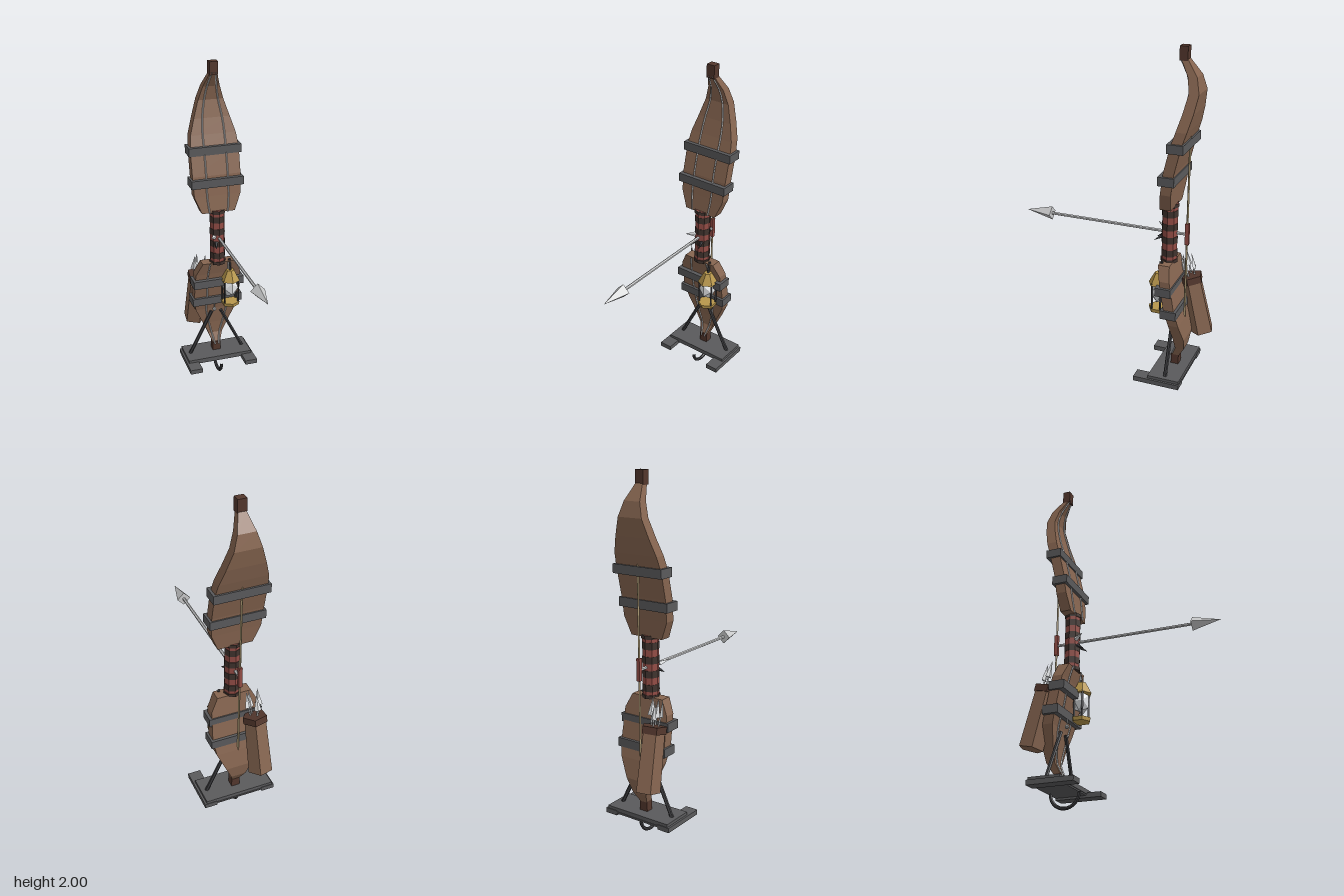
import * as THREE from 'three';

const mat = (name, color) => {
  const m = new THREE.MeshStandardMaterial({ color, flatShading: true });
  m.name = name;
  return m;
};

export function createModel() {
  const root = new THREE.Group();
  const wood = mat('wood', 0x866550);
  const darkWood = mat('dark wood', 0x53372d);
  const leather = mat('dark leather', 0x40332e);
  const iron = mat('iron', 0x5a5a5c);
  const black = mat('blackened iron', 0x3c3c3f);
  const red = mat('red wrap', 0x944d46);
  const steel = mat('steel', 0xc9cacb);
  const pale = mat('pale glass and feather', 0xe6e8ea);
  const gold = mat('brass', 0xb8974c);
  const cord = mat('cord', 0xb5a27a);

  const V = (p) => new THREE.Vector3(...p);
  const add = (name, geo, m, pos = [0, 0, 0], parent = root) => {
    const mesh = new THREE.Mesh(geo, m);
    mesh.name = name;
    mesh.position.set(...pos);
    parent.add(mesh);
    return mesh;
  };
  // box given by its extents
  const box = (name, m, x0, x1, y0, y1, z0, z1) =>
    add(name, new THREE.BoxGeometry(x1 - x0, y1 - y0, z1 - z0), m,
      [(x0 + x1) / 2, (y0 + y1) / 2, (z0 + z1) / 2]);
  // tapered rod from a to b
  const rod = (name, m, a, b, ra, rb = ra, sides = 6, parent = root) => {
    const d = V(b).sub(V(a));
    const mesh = add(name, new THREE.CylinderGeometry(rb, ra, d.length(), sides), m,
      V(a).add(V(b)).multiplyScalar(0.5).toArray(), parent);
    mesh.quaternion.setFromUnitVectors(new THREE.Vector3(0, 1, 0), d.normalize());
    return mesh;
  };

  // limbs: rows of [y, half width, front z, back z], bottom to top
  const limb = (name, rows) => {
    const rings = rows.map(([y, w, f, b]) => [[w, y, f], [w, y, b], [-w, y, b], [-w, y, f]]);
    const pos = [];
    const quad = (a, b, c, d) => pos.push(...a, ...b, ...c, ...a, ...c, ...d);
    for (let i = 0; i < rings.length - 1; i++) {
      for (let k = 0; k < 4; k++) {
        const n = (k + 1) % 4;
        quad(rings[i][k], rings[i][n], rings[i + 1][n], rings[i + 1][k]);
      }
    }
    quad(...[...rings[0]].reverse());
    quad(...rings[rings.length - 1]);
    const geo = new THREE.BufferGeometry();
    geo.setAttribute('position', new THREE.Float32BufferAttribute(pos, 3));
    geo.computeVertexNormals();
    add(name, geo, wood);
  };
  const upper = [
    [1.13, 0.10, -0.295, -0.36], [1.23, 0.14, -0.31, -0.37], [1.35, 0.145, -0.325, -0.385],
    [1.5, 0.145, -0.36, -0.42], [1.58, 0.135, -0.385, -0.445], [1.67, 0.107, -0.41, -0.468],
    [1.77, 0.075, -0.43, -0.485], [1.85, 0.05, -0.415, -0.465], [1.94, 0.02, -0.365, -0.4]];
  const lower = [
    [0.19, 0.02, -0.36, -0.4], [0.26, 0.045, -0.39, -0.44], [0.34, 0.08, -0.385, -0.45],
    [0.45, 0.13, -0.37, -0.43], [0.55, 0.145, -0.345, -0.405], [0.72, 0.14, -0.315, -0.375],
    [0.8, 0.10, -0.295, -0.36]];
  limb('upperLimb', upper);
  limb('lowerLimb', lower);
  box('upperTip', darkWood, -0.025, 0.025, 1.925, 2, -0.405, -0.36);
  box('lowerTip', darkWood, -0.025, 0.025, 0.14, 0.205, -0.405, -0.36);

  // clamps around the limbs
  for (const [y, z] of [[1.493, -0.39], [1.31, -0.345], [0.66, -0.342], [0.525, -0.375]])
    box('limbBand', iron, -0.157, 0.157, y - 0.025, y + 0.025, z - 0.046, z + 0.046);

  // thin wires running down the limb fronts
  for (const rows of [upper, lower]) {
    for (const s of [-1, 1]) {
      const path = new THREE.CatmullRomCurve3(rows.map(([y, w, f]) =>
        V([s * Math.min(0.065, w * 0.55), y, f + 0.006])));
      add('limbWire', new THREE.TubeGeometry(path, 18, 0.0045, 4), steel);
    }
  }

  // wrapped grip
  const grip = new THREE.Group();
  grip.name = 'grip';
  root.add(grip);
  const stripes = 9, h = 0.35 / stripes;
  for (let i = 0; i < stripes; i++) {
    const r = i % 2 ? 0.047 : 0.045;
    add('gripWrap', new THREE.CylinderGeometry(r, r, h, 8), i % 2 ? leather : red,
      [0, 0.79 + h * (i + 0.5), -0.325], grip);
  }
  for (const y of [0.8, 1.13])
    add('gripRim', new THREE.CylinderGeometry(0.05, 0.05, 0.02, 8), leather, [0, y, -0.325], grip);

  // claws of the arrow rest
  rod('restClaw', pale, [-0.03, 0.975, -0.29], [-0.06, 0.99, -0.24], 0.015, 0.001, 4);
  for (const s of [-1, 1])
    rod('restClaw', black, [s * 0.02, 0.94, -0.285], [s * 0.03, 0.915, -0.245], 0.011, 0.001, 4);

  // nocked arrow, string and string serving
  rod('arrowShaft', steel, [0, 0.965, -0.43], [0, 0.965, 0.4], 0.009, 0.009, 6);
  rod('arrowHead', steel, [0, 0.965, 0.395], [0, 0.965, 0.555], 0.041, 0, 4);
  rod('bowString', cord, [0, 0.4, -0.425], [0, 1.6, -0.425], 0.006, 0.006, 4);
  box('stringServing', red, -0.01, 0.01, 0.905, 1.03, -0.437, -0.415);

  // stand with two feet, braces and a hook below
  box('standPlate', iron, -0.205, 0.205, 0.12, 0.145, -0.465, -0.28);
  for (const s of [-1, 1]) {
    const x = s * 0.179;
    box('standFoot', iron, x - 0.038, x + 0.038, 0.1, 0.128, -0.468, -0.197);
    rod('standBrace', black, [s * 0.172, 0.14, -0.375], [s * 0.03, 0.43, -0.365], 0.011);
  }
  box('standUnderside', iron, -0.15, 0.15, 0.112, 0.122, -0.468, -0.285);
  const hook = add('hook', new THREE.TorusGeometry(0.085, 0.01, 6, 16, Math.PI), black,
    [0, 0.1, -0.345]);
  hook.rotation.set(Math.PI, Math.PI / 2, 0);

  // lantern
  const lantern = new THREE.Group();
  lantern.name = 'lantern';
  lantern.position.set(0.07, 0, -0.292);
  root.add(lantern);
  add('lanternRoof', new THREE.CylinderGeometry(0.024, 0.06, 0.068, 6), gold, [0, 0.708, 0], lantern);
  add('lanternBase', new THREE.CylinderGeometry(0.058, 0.054, 0.022, 6), gold, [0, 0.519, 0], lantern);
  add('lanternGlow', new THREE.IcosahedronGeometry(0.05, 0), pale, [0, 0.625, 0], lantern)
    .scale.y = 1.4;
  for (let i = 0; i < 6; i++) {
    const a = i * Math.PI / 3, x = 0.05 * Math.sin(a), z = 0.05 * Math.cos(a);
    if (i % 3) rod('lanternPost', black, [x, 0.525, z], [x, 0.685, z], 0.006, 0.006, 4, lantern);
  }
  rod('lanternHanger', black, [0, 0.73, 0], [0, 0.81, -0.015], 0.008, 0.008, 6, lantern);

  // small hanging bob
  rod('bobStem', steel, [-0.02, 0.46, -0.335], [-0.02, 0.53, -0.335], 0.004, 0.004, 4);
  add('bob', new THREE.IcosahedronGeometry(0.014, 0), steel, [-0.02, 0.46, -0.335]);

  // tilted quiver with spare arrows; local y runs along its length
  const quiver = new THREE.Group();
  quiver.name = 'quiver';
  quiver.position.set(-0.1, 0.495, -0.468);
  quiver.rotation.set(0.22, 0, -0.03);
  root.add(quiver);
  const body = add('quiverBody', new THREE.CylinderGeometry(0.062, 0.07, 0.345, 5), wood,
    [0, 0, 0], quiver);
  const collar = add('quiverCollar', new THREE.CylinderGeometry(0.07, 0.07, 0.04, 5), darkWood,
    [0, 0.165, 0], quiver);
  body.rotation.y = collar.rotation.y = 0.25;
  for (const [x, z, y] of [[-0.035, 0.01, 0.285], [-0.012, -0.025, 0.27], [0.03, 0.01, 0.285],
    [0.008, 0.03, 0.275]]) {
    rod('spareShaft', steel, [x * 0.7, 0.17, z * 0.7], [x, y, z], 0.005, 0.005, 4, quiver);
    const vane = add('spareVane', new THREE.ConeGeometry(0.021, 0.1, 4), pale, [x, y, z], quiver);
    vane.scale.z = 0.5;
    vane.rotation.y = x * 12;
  }
  return root;
}
